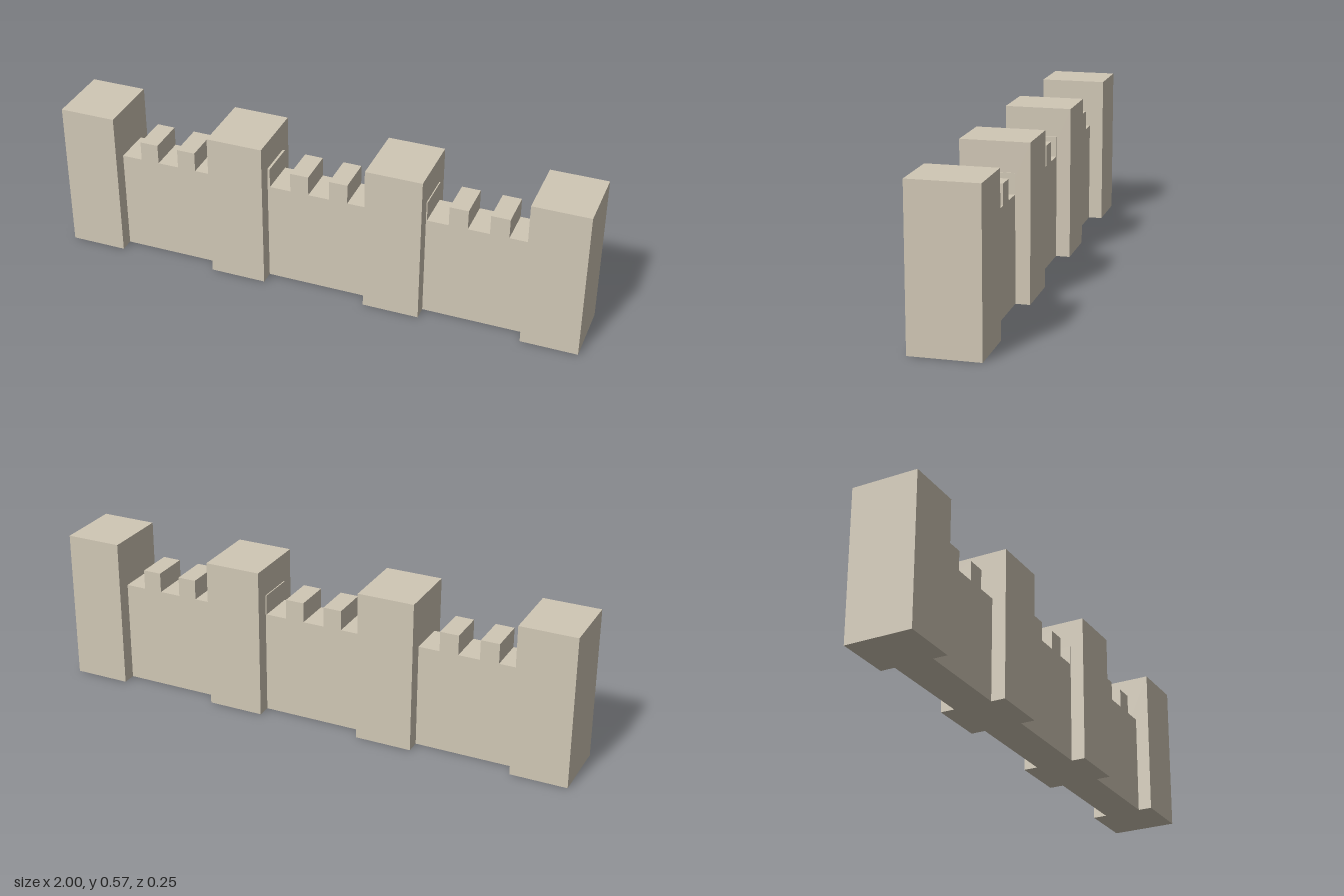
import * as THREE from 'three';

const stone = new THREE.MeshStandardMaterial({ color: 0xd0c7b5, flatShading: true });

// Wall dimensions
const WALL_HEIGHT = 0.39, MERLON_TOP = 0.465, WALL_DEPTH = 0.144;
const MERLON_WIDTH = 0.07, MERLON_SPACING = 0.15, WALL_END = 0.9;

// Tower dimensions: [left edge, right edge]
const TOWER_HEIGHT = 0.573, TOWER_DEPTH = 0.25;
const TOWERS = [[-1, -0.788], [-0.411, -0.199], [0.194, 0.406], [0.788, 1]];

// One continuous wall with a crenellated top, running through the towers
function createWall() {
  const shape = new THREE.Shape();
  shape.moveTo(-WALL_END, 0);
  shape.lineTo(WALL_END, 0);
  shape.lineTo(WALL_END, WALL_HEIGHT);
  for (let i = 4; i >= -5; i--) {
    const x = (i + 0.5) * MERLON_SPACING, h = MERLON_WIDTH / 2;
    shape.lineTo(x + h, WALL_HEIGHT);
    shape.lineTo(x + h, MERLON_TOP);
    shape.lineTo(x - h, MERLON_TOP);
    shape.lineTo(x - h, WALL_HEIGHT);
  }
  shape.lineTo(-WALL_END, WALL_HEIGHT);
  shape.closePath();
  const geometry = new THREE.ExtrudeGeometry(shape, { depth: WALL_DEPTH, bevelEnabled: false });
  geometry.translate(0, 0, -WALL_DEPTH / 2);
  const wall = new THREE.Mesh(geometry, stone);
  wall.name = 'crenellatedWall';
  return wall;
}

// Plain square tower standing on the ground
function createTower([left, right], index) {
  const tower = new THREE.Mesh(new THREE.BoxGeometry(right - left, TOWER_HEIGHT, TOWER_DEPTH), stone);
  tower.position.set((left + right) / 2, TOWER_HEIGHT / 2, 0);
  tower.name = `tower${index + 1}`;
  return tower;
}

export function createModel() {
  const model = new THREE.Group();
  model.name = 'castleWall';
  model.add(createWall(), ...TOWERS.map(createTower));
  return model;
}
